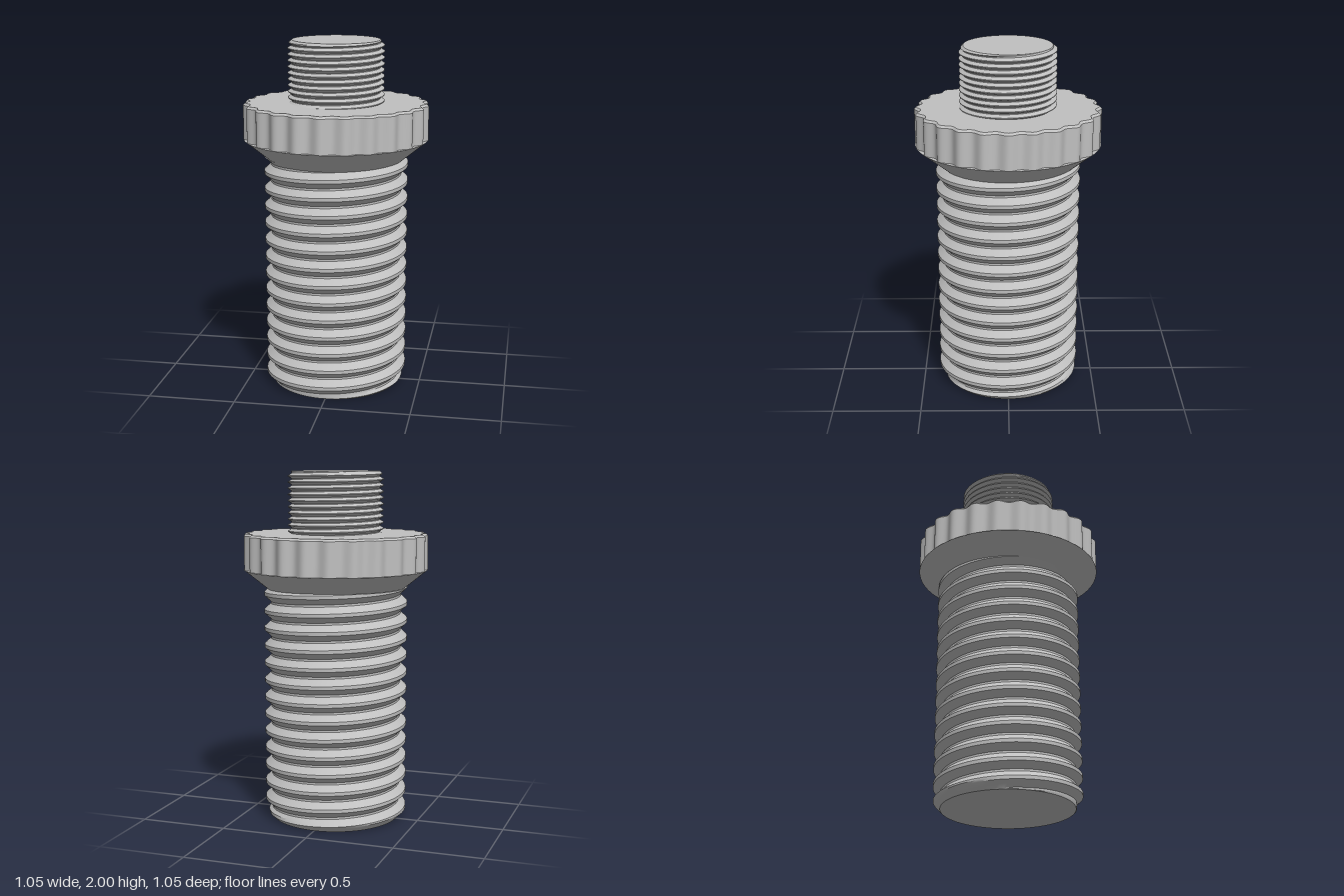
import * as THREE from 'three';
import { toCreasedNormals } from 'three/addons/utils/BufferGeometryUtils.js';

const TAU = Math.PI * 2;

// Surface around the y axis; at(angle, row) returns [radius, height]
function sweep(cols, rows, at, crease) {
  const pos = [];
  const point = (i, j) => {
    const a = (i / cols) * TAU;
    const [r, y] = at(a, j);
    return new THREE.Vector3(Math.sin(a) * r, y, Math.cos(a) * r);
  };
  const tri = (a, b, c) => {
    const area = b.clone().sub(a).cross(c.clone().sub(a)).length();
    if (area > 1e-9) for (const p of [a, b, c]) pos.push(p.x, p.y, p.z);
  };
  for (let i = 0; i < cols; i++) {
    for (let j = 0; j < rows; j++) {
      const a = point(i, j), b = point(i + 1, j), c = point(i + 1, j + 1), d = point(i, j + 1);
      tri(a, b, c);
      tri(a, c, d);
    }
  }
  const g = new THREE.BufferGeometry();
  g.setAttribute('position', new THREE.Float32BufferAttribute(pos, 3));
  return toCreasedNormals(g, crease);
}

// Right-handed helical thread, its ends trimmed by limit(y), closed by flat discs
function thread({ y0, y1, pitch, root, crest, phase, limit, breaks }) {
  const [c, f] = breaks; // end of crest flat and start of root flat, in half pitches
  const stops = [-1, -f, -(c + f) / 2, -c, 0, c, (c + f) / 2, f].map((s) => s / 2);
  const turns = Math.ceil((y1 - y0) / pitch) + 3;
  const radius = (a, y) => {
    const t = (y - y0 - phase) / pitch - a / TAU;
    const d = Math.abs(t - Math.round(t)) * 2;
    const k = THREE.MathUtils.clamp((d - c) / (f - c), 0, 1);
    return Math.min(THREE.MathUtils.lerp(crest, root, k), limit(y));
  };
  return sweep(120, turns * 8 + 2, (a, j) => {
    if (j === 0) return [0, y0];
    if (j === turns * 8 + 2) return [0, y1];
    const k = j - 1;
    const h = Math.floor(k / 8) - 2 + stops[k % 8] + a / TAU;
    const y = THREE.MathUtils.clamp(y0 + phase + h * pitch, y0, y1);
    return [radius(a, y), y];
  }, 0.5);
}

export function createModel() {
  const group = new THREE.Group();
  const steel = new THREE.MeshStandardMaterial({ color: 0xc0c0c0 });
  steel.name = 'light grey metal';

  const add = (name, geometry, y = 0) => {
    const mesh = new THREE.Mesh(geometry, steel);
    mesh.name = name;
    mesh.position.y = y;
    group.add(mesh);
  };

  // Coarse lower shank with a chamfered foot
  add('lowerThread', thread({
    y0: 0, y1: 1.345, pitch: 0.1, root: 0.373, crest: 0.41, phase: 0.075,
    limit: (y) => 0.37 + y, breaks: [0.2, 0.88],
  }));

  // Cone spreading up to the grip collar
  add('collarCone', toCreasedNormals(new THREE.CylinderGeometry(0.525, 0.37, 0.125, 120), 0.5), 1.3825);

  // Scalloped collar with a small bevel around the top
  const rings = [[0, 1.445], [1, 1.445], [1, 1.638], [0.977, 1.65], [0, 1.65]];
  add('gripCollar', sweep(288, rings.length - 1, (a, j) => {
    const dip = 0.5 - 0.5 * Math.cos(24 * a);
    return [rings[j][0] * (0.525 - 0.026 * dip), rings[j][1]];
  }, 0.45));

  // Fine upper stud with a chamfered tip
  add('upperThread', thread({
    y0: 1.64, y1: 2, pitch: 0.0345, root: 0.251, crest: 0.272, phase: 0.01,
    limit: (y) => 0.248 + (2 - y) * 1.2, breaks: [0.12, 0.88],
  }));

  return group;
}
